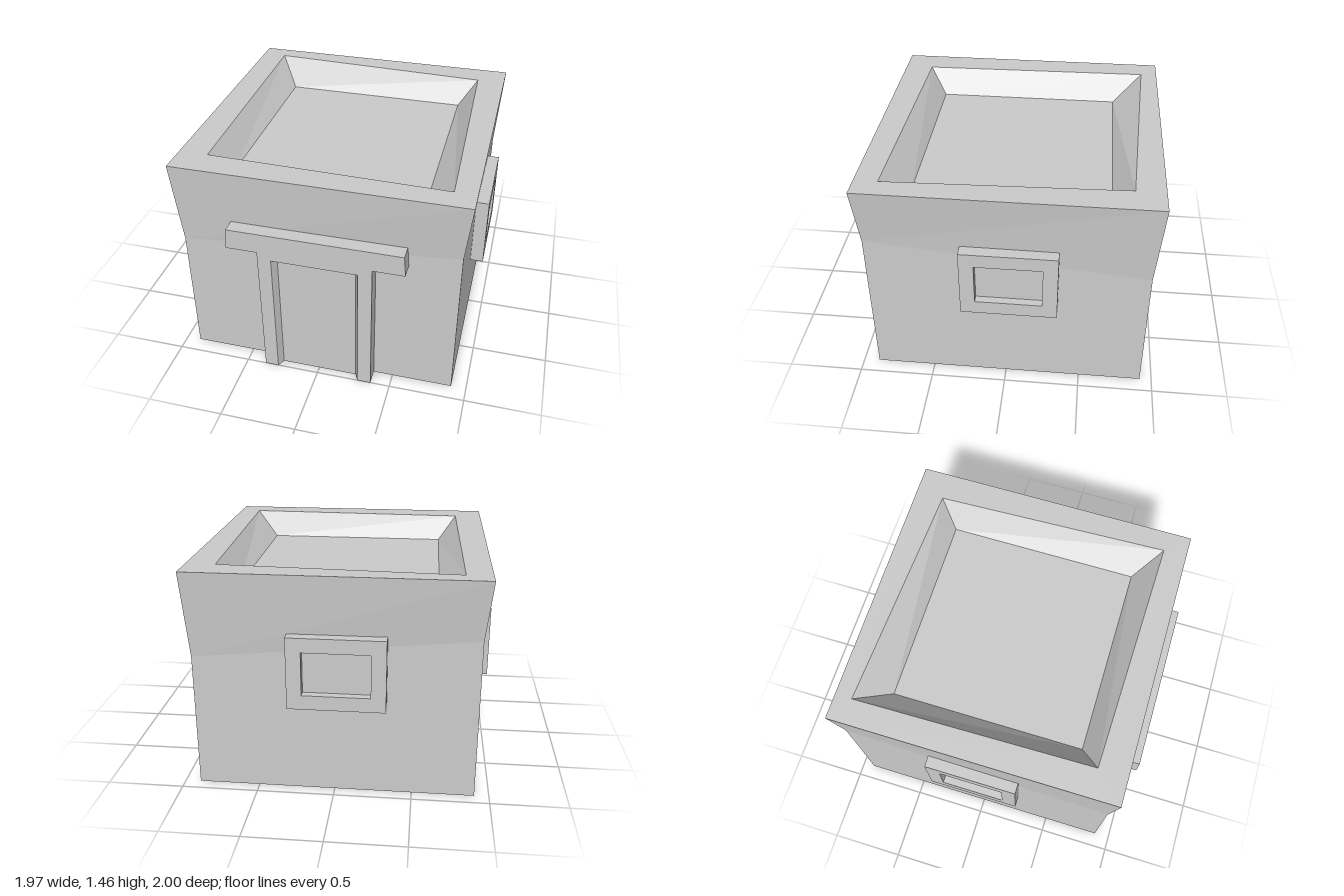
import * as THREE from 'three';

const material = new THREE.MeshStandardMaterial({ color: 0xcccccc, flatShading: true });

function addMesh(parent, name, geometry) {
  const mesh = new THREE.Mesh(geometry, material);
  mesh.name = name;
  parent.add(mesh);
  return mesh;
}

// Closed skin over a stack of four-cornered rings, each listed counter-clockwise from above
function ringSkin(rings) {
  const index = [0, 2, 1, 0, 3, 2];
  for (let r = 0; r < rings.length - 1; r++) {
    for (let i = 0; i < 4; i++) {
      const j = (i + 1) % 4, a = r * 4, b = a + 4;
      index.push(a + i, a + j, b + j, a + i, b + j, b + i);
    }
  }
  const t = (rings.length - 1) * 4;
  index.push(t, t + 1, t + 2, t, t + 2, t + 3);
  const geometry = new THREE.BufferGeometry();
  geometry.setAttribute('position', new THREE.Float32BufferAttribute(rings.flat(2), 3));
  geometry.setIndex(index);
  const flat = geometry.toNonIndexed();
  flat.computeVertexNormals();
  return flat;
}

// Ring corners: front left of view, front right, back right, back left
const rectRing = (x0, x1, zBack, zFront, ys) => [
  [x0, ys[0], zFront], [x1, ys[1], zFront], [x1, ys[2], zBack], [x0, ys[3], zBack],
];
const level = (y) => [y, y, y, y];

function rectPath(target, x0, x1, y0, y1) {
  target.moveTo(x0, y0);
  target.lineTo(x1, y0);
  target.lineTo(x1, y1);
  target.lineTo(x0, y1);
  target.closePath();
  return target;
}

// Framed window facing +z with its outer face at z = 0
function createWindow(name) {
  const group = new THREE.Group();
  group.name = name;
  const shape = rectPath(new THREE.Shape(), -0.31, 0.31, 0.605, 1.08);
  shape.holes.push(rectPath(new THREE.Path(), -0.215, 0.215, 0.7, 0.985));
  const frame = new THREE.ExtrudeGeometry(shape, { depth: 0.1, bevelEnabled: false });
  addMesh(group, 'windowFrame', frame.translate(0, 0, -0.1));
  const pane = new THREE.BoxGeometry(0.45, 0.3, 0.05);
  addMesh(group, 'windowPane', pane.translate(0, 0.8425, -0.077));
  return group;
}

function createDoorway() {
  const group = new THREE.Group();
  group.name = 'doorway';

  // Posts and lintel in one outline, open at the bottom
  const outline = [
    [-0.37, 0], [-0.28, 0], [-0.28, 0.91], [0.28, 0.91], [0.28, 0], [0.37, 0],
    [0.37, 0.96], [0.575, 0.96], [0.565, 1.1], [-0.565, 1.1], [-0.575, 0.96], [-0.37, 0.96],
  ];
  const shape = new THREE.Shape(outline.map(([x, y]) => new THREE.Vector2(x, y)));
  const surround = new THREE.ExtrudeGeometry(shape, { depth: 0.12, bevelEnabled: false });
  surround.translate(0, 0, 0.88);

  // Splay the reveals: the opening narrows towards the back
  const p = surround.attributes.position;
  for (let i = 0; i < p.count; i++) {
    if (p.getZ(i) < 0.9 && Math.abs(p.getX(i)) < 0.3) {
      p.setX(i, Math.sign(p.getX(i)) * 0.22);
      if (p.getY(i) > 0.5) p.setY(i, 0.82);
    }
  }
  surround.computeVertexNormals();
  addMesh(group, 'doorSurround', surround);

  const panel = new THREE.BoxGeometry(0.54, 0.89, 0.07);
  addMesh(group, 'doorPanel', panel.translate(0, 0.445, 0.915));
  return group;
}

export function createModel() {
  const model = new THREE.Group();
  model.name = 'house';

  // Walls flare out above an uneven waist, then drop into a sunken roof
  const roofEdge = [[-0.755, 1.46, 0.735], [0.8, 1.46, 0.775], [0.75, 1.46, -0.77], [-0.78, 1.46, -0.845]];
  addMesh(model, 'wallsAndRoof', ringSkin([
    rectRing(-0.905, 0.9, -0.92, 0.895, level(0)),
    rectRing(-0.905, 0.9, -0.92, 0.895, [0.9, 1.07, 0.9, 1.07]),
    rectRing(-0.945, 0.94, -0.957, 0.928, level(1.46)),
    roofEdge,
    rectRing(-0.63, 0.63, -0.645, 0.615, level(1.3)),
  ]));

  model.add(createDoorway());

  // One window on each remaining wall
  const windows = [
    ['leftWindow', 0.985, -0.03, Math.PI / 2],
    ['rightWindow', -0.985, -0.03, -Math.PI / 2],
    ['backWindow', -0.02, -1, Math.PI],
  ];
  for (const [name, x, z, turn] of windows) {
    const w = createWindow(name);
    w.position.set(x, 0, z);
    w.rotation.y = turn;
    model.add(w);
  }
  return model;
}
